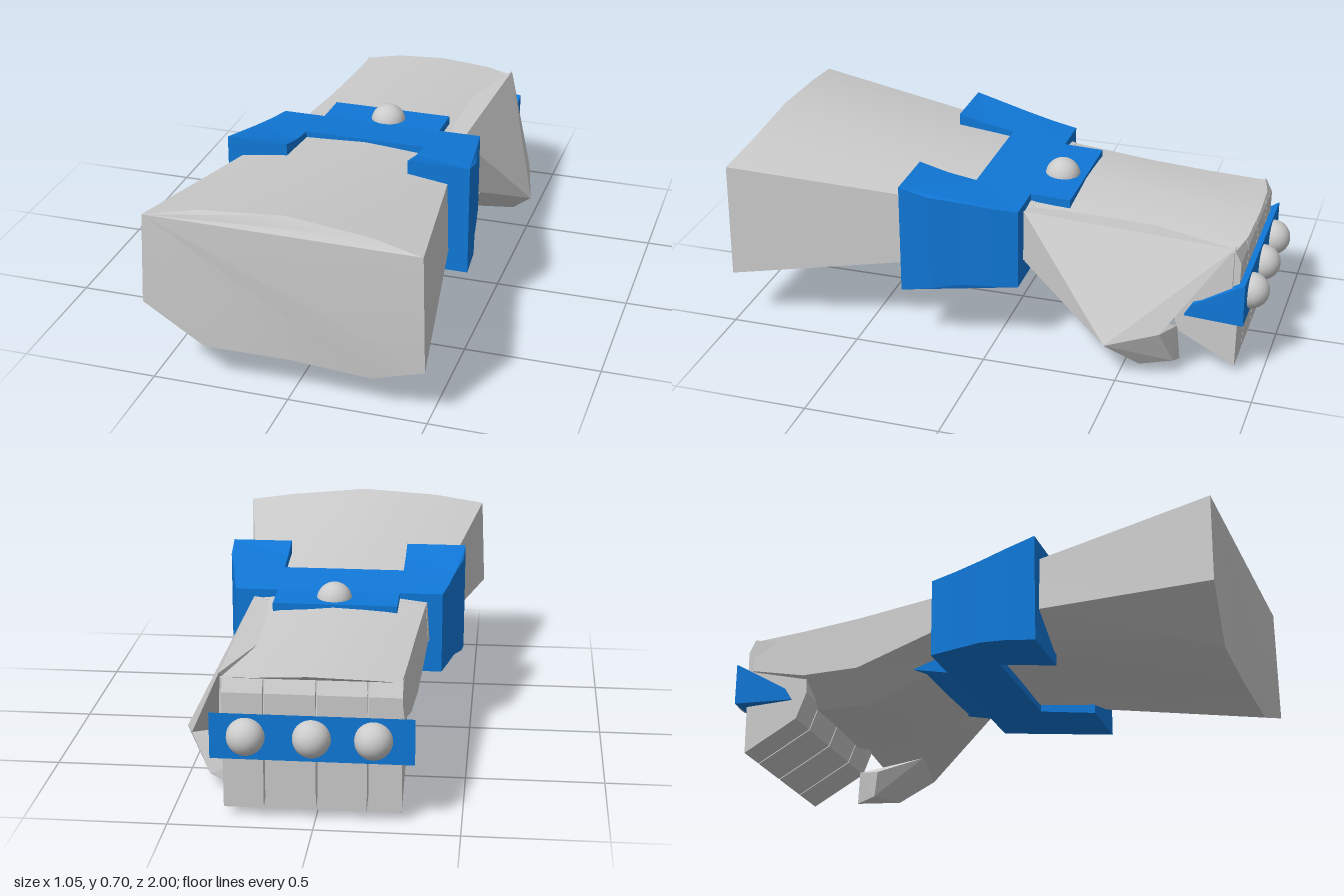
import * as THREE from 'three';
import { toCreasedNormals } from 'three/addons/utils/BufferGeometryUtils.js';
import { ConvexGeometry } from 'three/addons/geometries/ConvexGeometry.js';

const grey = new THREE.MeshStandardMaterial({ color: 0xcccccc, side: THREE.DoubleSide });
const blue = new THREE.MeshStandardMaterial({ color: 0x1078d8 });

// Arm cross-section, counter-clockwise, in units of half width and half height
const OUTLINE = [
  [-1, 0.8], [-1.03, -0.39], [-0.61, -0.94], [0, -0.95], [0.6, -1],
  [0.98, -0.75], [0.96, 0.78], [0.6, 0.89], [0, 1], [-0.6, 0.93],
];

// Skin over sections [z, xMin, xMax, yMin, yMax, bulge], ordered from +z to -z
function loft(sections) {
  const n = OUTLINE.length, pos = [], index = [];
  for (const [z, x0, x1, y0, y1, bulge = 0] of sections) {
    for (const [u, v] of OUTLINE) {
      const inner = Math.abs(u) < 0.7 ? 1 - 0.4 * Math.abs(u) : 0;
      pos.push((x0 + x1) / 2 + u * (x1 - x0) / 2, (y0 + y1) / 2 + v * (y1 - y0) / 2, z - bulge * inner);
    }
  }
  for (let s = 0; s < sections.length - 1; s++) {
    for (let i = 0; i < n; i++) {
      const a = s * n + i, b = s * n + (i + 1) % n, c = a + n, d = b + n;
      index.push(a, c, b, b, c, d);
    }
  }
  const last = (sections.length - 1) * n;
  for (let i = 1; i < n - 1; i++) {
    index.push(0, i, i + 1);
    index.push(last, last + i + 1, last + i);
  }
  const g = new THREE.BufferGeometry();
  g.setAttribute('position', new THREE.Float32BufferAttribute(pos, 3));
  g.setIndex(index);
  return toCreasedNormals(g, 0.5);
}

const hull = (points) => new ConvexGeometry(points.map((p) => new THREE.Vector3(...p)));

// Linear interpolation through [z, y] pairs, z rising
function along(table, z) {
  for (let i = 1; i < table.length; i++) {
    const [za, ya] = table[i - 1], [zb, yb] = table[i];
    if (z <= zb + 1e-4) return ya + (yb - ya) * (z - za) / (zb - za);
  }
  return table[table.length - 1][1];
}

// H-shaped cuff: plan outline extruded upward, then top and bottom follow the arm
function cuffGeometry() {
  const half = [
    [0.23, -0.25], [0.23, -0.1], [0.39, -0.1], [0.41, 0], [0.43, 0.11],
    [0.455, 0.22], [0.46, 0.33], [0.23, 0.33], [0.23, 0.22], [0.23, 0.11],
  ];
  const plan = [...half, ...half.map(([x, z]) => [-x, z]).reverse()];
  const shape = new THREE.Shape(plan.map(([x, z]) => new THREE.Vector2(x, -z)));
  const g = new THREE.ExtrudeGeometry(shape, { depth: 1, bevelEnabled: false });
  g.rotateX(-Math.PI / 2);
  const top = [[-0.25, 0.563], [-0.1, 0.568], [0, 0.578], [0.22, 0.612], [0.33, 0.64]];
  const bottom = [[-0.25, 0.3], [-0.1, 0.262], [0.11, 0.26], [0.33, 0.22]];
  const p = g.attributes.position;
  for (let i = 0; i < p.count; i++) p.setY(i, along(p.getY(i) > 0.5 ? top : bottom, p.getZ(i)));
  g.computeVertexNormals();
  return g;
}

export function createModel() {
  const model = new THREE.Group();
  model.name = 'armouredFist';
  const add = (name, geometry, material, x = 0, y = 0, z = 0) => {
    const mesh = new THREE.Mesh(geometry, material);
    mesh.name = name;
    mesh.position.set(x, y, z);
    model.add(mesh);
    return mesh;
  };

  // Forearm, tapering to the wrist
  add('forearm', loft([
    [1, -0.51, 0.5, 0.128, 0.7, 0.03],
    [0.33, -0.405, 0.395, 0.255, 0.607],
    [-0.12, -0.33, 0.33, 0.315, 0.557],
  ]), grey);

  // Back of the hand and palm
  add('hand', loft([
    [-0.1, -0.33, 0.33, 0.315, 0.557],
    [-0.43, -0.31, 0.34, 0.19, 0.545],
    [-0.66, -0.3, 0.34, 0.21, 0.532],
    [-0.88, -0.29, 0.34, 0.3, 0.518, 0.035],
  ]), grey);

  // Curled fingers
  const profile = [[-0.88, 0.5], [-0.905, 0.45], [-0.9, 0.03], [-0.69, 0.14], [-0.65, 0.24], [-0.66, 0.45]];
  const fingerShape = new THREE.Shape(profile.map(([z, y]) => new THREE.Vector2(-z, y)));
  const edges = [-0.295, -0.175, 0, 0.18, 0.325];
  for (let i = 0; i < 4; i++) {
    const width = edges[i + 1] - edges[i] - 0.006;
    const g = new THREE.ExtrudeGeometry(fingerShape, { depth: width, bevelEnabled: false });
    g.rotateY(Math.PI / 2);
    add('finger' + (i + 1), g, grey, edges[i], 0, 0);
  }

  // Base of the thumb sloping off the hand, and the bent thumb tip
  add('thumbBase', hull([
    [0.32, 0.54, -0.1], [0.31, 0.33, -0.1], [0.1, 0.52, -0.12], [0.33, 0.51, -0.88],
    [0.52, 0.15, -0.46], [0.47, 0.2, -0.65], [0.2, 0.2, -0.43], [0.2, 0.25, -0.65],
  ]), grey);
  add('thumb', hull([
    [0.52, 0.15, -0.46], [0.47, 0.2, -0.65], [0.425, 0.04, -0.57], [0.4, 0.06, -0.69],
    [0.24, 0.006, -0.6], [0.28, 0, -0.69], [0.22, 0.1, -0.58], [0.25, 0.12, -0.67],
    [0.33, 0.18, -0.43],
  ]), grey);

  // Wrist cuff with its stud
  add('wristCuff', cuffGeometry(), blue);
  const stud = new THREE.SphereGeometry(0.066, 24, 16);
  add('cuffStud', stud, grey, 0.01, 0.556, -0.16);

  // Knuckle band, narrowing toward the palm, with three studs
  add('knuckleBand', hull([
    [-0.34, 0.22, -0.93], [0.36, 0.22, -0.93], [-0.34, 0.385, -0.93], [0.36, 0.385, -0.93],
    [-0.3, 0.22, -0.71], [0.34, 0.22, -0.71], [-0.305, 0.27, -0.74], [0.345, 0.27, -0.74],
  ]), blue);
  [-0.2, 0.01, 0.235].forEach((x, i) => add('knuckleStud' + (i + 1), stud, grey, x, 0.305, -0.934));

  return model;
}
